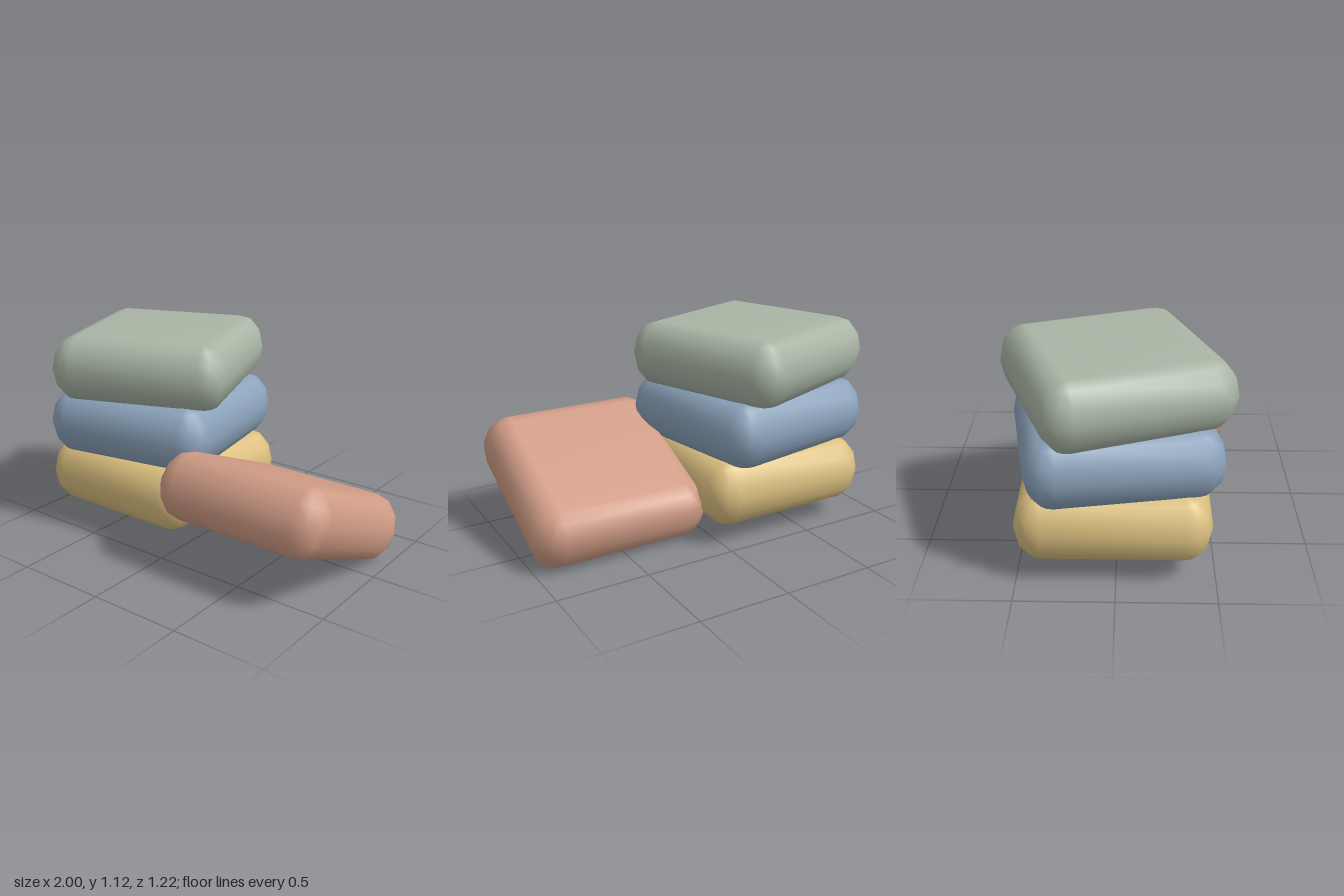
import * as THREE from 'three';
import { mergeVertices } from 'three/addons/utils/BufferGeometryUtils.js';

const CORE = 0.355;   // half width of the flat square
const ROUND = 0.14;   // sideways radius of the edge
const HALF = 0.18;    // half thickness
const STEPS = 3;      // facets per quarter round

// Square pad with elliptical edges: stacked rounded-square rings, closed by a centre point above and below.
function cushionGeometry() {
  const positions = [0, HALF, 0];
  const index = [];
  const rows = STEPS * 2 + 1;
  const perRing = 4 * (STEPS + 1);
  for (let j = 0; j < rows; j++) {
    const lat = Math.PI / 2 - (j / (rows - 1)) * Math.PI;
    const r = ROUND * Math.cos(lat);
    for (let c = 0; c < 4; c++) {
      const mid = Math.PI / 4 + (c * Math.PI) / 2;
      for (let s = 0; s <= STEPS; s++) {
        const a = (c + s / STEPS) * (Math.PI / 2);
        positions.push(
          Math.sign(Math.cos(mid)) * CORE + r * Math.cos(a),
          HALF * Math.sin(lat),
          Math.sign(Math.sin(mid)) * CORE + r * Math.sin(a)
        );
      }
    }
  }
  positions.push(0, -HALF, 0);
  const bottom = positions.length / 3 - 1;
  const at = (j, i) => 1 + j * perRing + (i % perRing);
  for (let i = 0; i < perRing; i++) {
    index.push(0, at(0, i + 1), at(0, i));
    index.push(bottom, at(rows - 1, i), at(rows - 1, i + 1));
    for (let j = 0; j < rows - 1; j++) {
      index.push(at(j + 1, i), at(j, i), at(j, i + 1));
      index.push(at(j + 1, i), at(j, i + 1), at(j + 1, i + 1));
    }
  }
  const geometry = new THREE.BufferGeometry();
  geometry.setAttribute('position', new THREE.Float32BufferAttribute(positions, 3));
  geometry.setIndex(index);
  const smooth = mergeVertices(geometry, 1e-4);
  smooth.computeVertexNormals();
  return smooth;
}

export function createModel() {
  const group = new THREE.Group();
  group.name = 'cushionPile';
  const geometry = cushionGeometry();

  const addCushion = (name, color, position, rotation) => {
    const mesh = new THREE.Mesh(geometry, new THREE.MeshStandardMaterial({ color }));
    mesh.name = name;
    mesh.position.set(...position);
    mesh.rotation.set(...rotation);
    group.add(mesh);
  };

  // Stack of three, each turned a little further
  addCushion('bottomCushion', 0xdcc080, [-0.405, 0.29, -0.015], [0, 0, 0]);
  addCushion('middleCushion', 0x8ca3bc, [-0.405, 0.617, -0.015], [0, 0.175, 0]);
  addCushion('topCushion', 0xa9b5a5, [-0.405, 0.945, -0.015], [0, 0.36, 0]);
  // One leaning beside the stack
  addCushion('leaningCushion', 0xd09c86, [0.505, 0.315, 0.132], [-0.4, 0, 0]);

  return group;
}
